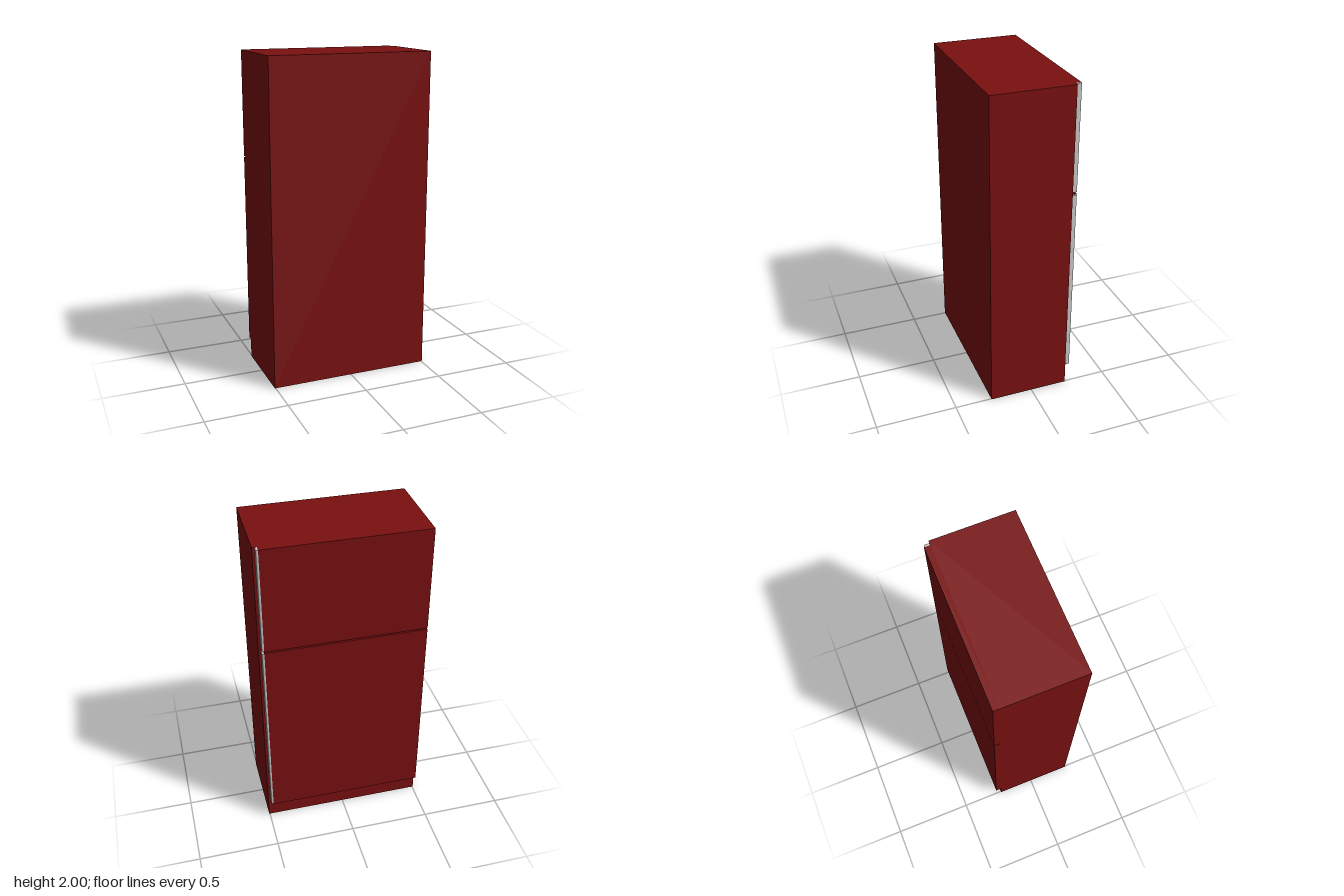
import * as THREE from 'three';

const red = new THREE.MeshStandardMaterial({ color: 0x7a1010 });
const grey = new THREE.MeshStandardMaterial({ color: 0xcccccc });

// Box given by its low and high corners
function box(name, [x0, y0, z0], [x1, y1, z1]) {
  const mesh = new THREE.Mesh(new THREE.BoxGeometry(x1 - x0, y1 - y0, z1 - z0), red);
  mesh.position.set((x0 + x1) / 2, (y0 + y1) / 2, (z0 + z1) / 2);
  mesh.name = name;
  return mesh;
}

// Upright edge strip with a bevelled outer corner; outline is in (x, -z)
function edgeStrip(name, y0, y1) {
  const outline = [[0.477, 0.233], [0.49, 0.233], [0.49, 0.264], [0.484, 0.267], [0.477, 0.268]];
  const shape = new THREE.Shape(outline.map(([x, y]) => new THREE.Vector2(x, y)));
  const geometry = new THREE.ExtrudeGeometry(shape, { depth: y1 - y0, bevelEnabled: false });
  geometry.rotateX(-Math.PI / 2);
  const mesh = new THREE.Mesh(geometry, grey);
  mesh.position.y = y0;
  mesh.name = name;
  return mesh;
}

export function createModel() {
  const model = new THREE.Group();
  model.name = 'refrigerator';

  // Cabinet, reaching the floor below the doors
  model.add(box('cabinet', [-0.505, 0, -0.232], [0.505, 2, 0.268]));

  // Two doors, each with a grey strip along its opening edge
  for (const [name, y0, y1] of [['lowerDoor', 0.12, 1.337], ['upperDoor', 1.346, 2]]) {
    const door = new THREE.Group();
    door.name = name;
    door.add(box(name + 'Panel', [-0.505, y0, -0.268], [0.477, y1, -0.232]));
    door.add(edgeStrip(name + 'Grip', y0 + 0.005, y1 - (y1 < 2 ? 0.006 : 0)));
    model.add(door);
  }
  return model;
}
